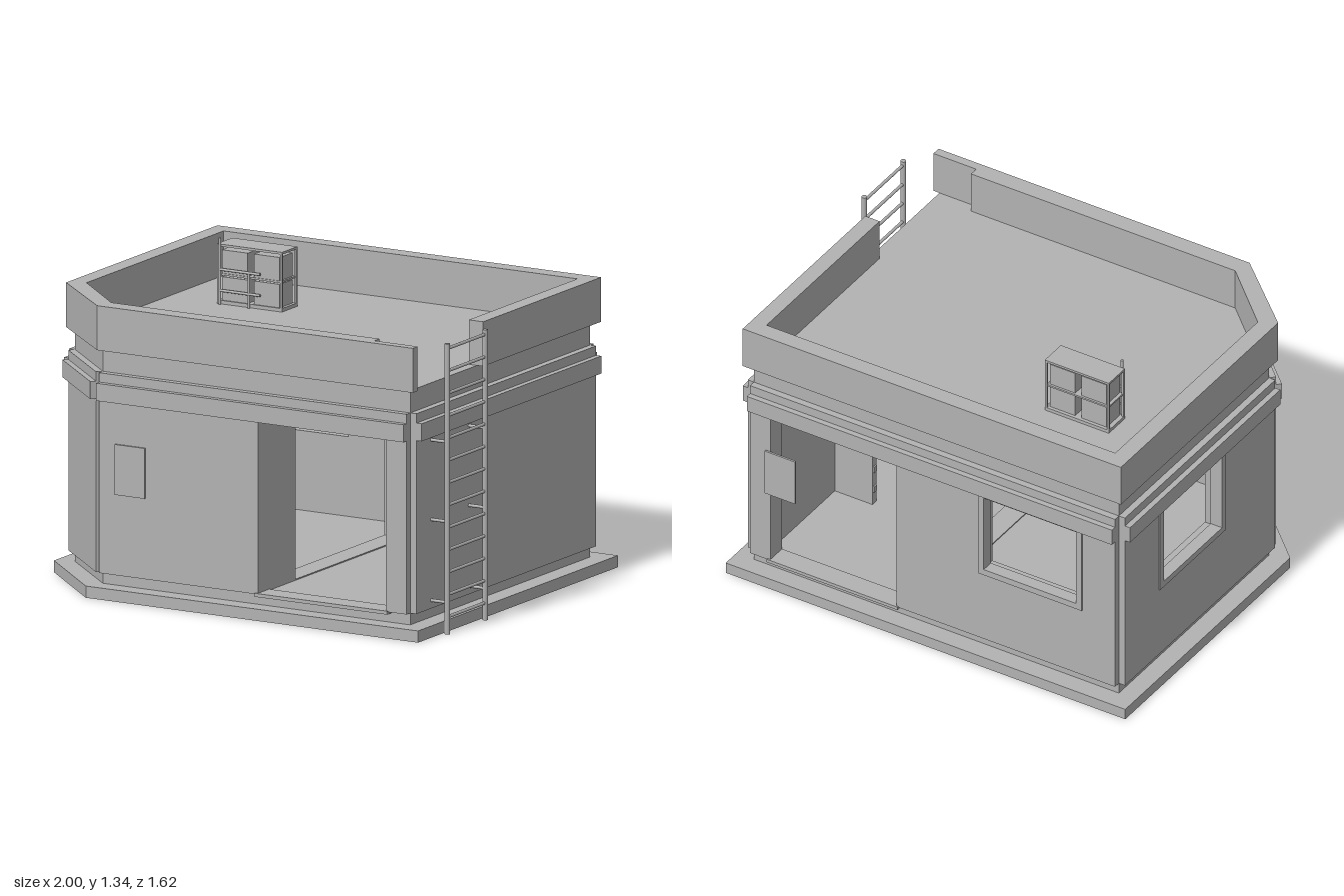
import * as THREE from 'three';

const grey = new THREE.MeshStandardMaterial({ color: 0xb2b2b2 });
grey.name = 'concrete grey';

function add(parent, name, geometry) {
  const mesh = new THREE.Mesh(geometry, grey);
  mesh.name = name;
  parent.add(mesh);
  return mesh;
}

// Box given by its min and max along each axis
function box(parent, name, x0, x1, y0, y1, z0, z1) {
  const mesh = add(parent, name, new THREE.BoxGeometry(x1 - x0, y1 - y0, z1 - z0));
  mesh.position.set((x0 + x1) / 2, (y0 + y1) / 2, (z0 + z1) / 2);
  return mesh;
}

// Round bar between two points
function bar(parent, name, a, b, radius) {
  const from = new THREE.Vector3(...a), to = new THREE.Vector3(...b);
  const mesh = add(parent, name, new THREE.CylinderGeometry(radius, radius, from.distanceTo(to), 10));
  mesh.position.copy(from).lerp(to, 0.5);
  mesh.quaternion.setFromUnitVectors(new THREE.Vector3(0, 1, 0), to.sub(from).normalize());
  return mesh;
}

// Horizontal slab from an [x, z] outline
function slab(parent, name, outline, y0, y1) {
  const shape = new THREE.Shape(outline.map(([x, z]) => new THREE.Vector2(x, -z)));
  const geometry = new THREE.ExtrudeGeometry(shape, { depth: y1 - y0, bevelEnabled: false });
  geometry.rotateX(-Math.PI / 2).translate(0, y0, 0);
  return add(parent, name, geometry);
}

function rect(target, [u0, u1, y0, y1]) {
  target.moveTo(u0, y0);
  target.lineTo(u1, y0);
  target.lineTo(u1, y1);
  target.lineTo(u0, y1);
  target.closePath();
  return target;
}

// Upright panel along a line a-b; in/out are distances along its outward normal
function panel(parent, name, a, b, area, inner, outer, holes = []) {
  const shape = rect(new THREE.Shape(), area);
  for (const hole of holes) shape.holes.push(rect(new THREE.Path(), hole));
  const geometry = new THREE.ExtrudeGeometry(shape, { depth: outer - inner, bevelEnabled: false });
  geometry.translate(0, 0, inner);
  const mesh = add(parent, name, geometry);
  mesh.position.set(a[0], 0, a[1]);
  mesh.rotation.y = Math.atan2(-(b[1] - a[1]), b[0] - a[0]);
  return mesh;
}

export function createModel() {
  const model = new THREE.Group();
  model.name = 'building';

  // Ground slab, floor and roof deck
  slab(model, 'groundSlab', [[-0.645, 0.81], [0.965, 0.81], [0.965, -0.81], [-1, -0.81], [-1, 0.475]], 0, 0.05);
  const core = [[-0.61, 0.73], [0.88, 0.73], [0.88, -0.725], [-0.915, -0.725], [-0.915, 0.445]];
  const inset = [[-0.59, 0.7], [0.85, 0.7], [0.85, -0.7], [-0.885, -0.7], [-0.885, 0.43]];
  slab(model, 'floor', inset, 0.05, 0.1);
  slab(model, 'roofDeck', inset, 0.95, 1.05);

  // Openings per side, measured along the side: [from, to, bottom, top]
  const sides = [
    { name: 'front', doors: [[0.77, 1.39, 0.105, 0.84]], windows: [] },
    { name: 'left', doors: [], windows: [] },
    { name: 'back', doors: [[0.1, 0.72, 0.105, 0.84]], windows: [[1.135, 1.625, 0.44, 0.84]] },
    { name: 'right', doors: [], windows: [[0.275, 0.765, 0.44, 0.84]] },
    { name: 'corner', doors: [], windows: [] },
  ];
  sides.forEach((side, i) => {
    const a = core[i], b = core[(i + 1) % core.length];
    const length = Math.hypot(b[0] - a[0], b[1] - a[1]);
    const holes = [...side.doors, ...side.windows];
    panel(model, side.name + 'Wall', a, b, [0, length, 0.05, 1.05], -0.06, 0, holes);
    panel(model, side.name + 'Facing', a, b, [0, length, 0.1, 0.955], 0, 0.03, holes);
    panel(model, side.name + 'Cornice', a, b, [0, length, 0.84, 0.915], 0, 0.055);
    for (const [u0, u1, y0, y1] of side.windows) {
      panel(model, side.name + 'WindowFrame', a, b, [u0 - 0.01, u1 + 0.01, y0 - 0.01, y1 + 0.01],
        -0.02, 0.036, [[u0 + 0.018, u1 - 0.018, y0 + 0.018, y1 - 0.018]]);
    }
    for (const [u0, u1] of side.doors) {
      panel(model, side.name + 'DoorSill', a, b, [u0 - 0.015, u1 + 0.01, 0.09, 0.105], -0.06, 0.037);
    }
  });

  // Wall plates beside the doors
  box(model, 'frontWallPlate', -0.53, -0.385, 0.445, 0.66, 0.76, 0.769);
  box(model, 'backWallPlate', 0.65, 0.8, 0.445, 0.66, -0.769, -0.76);

  // Inner wall with a wide doorway, and a short screen with hinges
  panel(model, 'innerWall', [0.16, 0.69], [0.16, -0.69], [0, 1.38, 0.1, 0.95], -0.1, 0,
    [[0.235, 1.12, 0.105, 0.77]]);
  box(model, 'screen', 0.635, 0.83, 0.1, 0.765, -0.19, -0.16);
  for (let i = 0; i < 6; i++) {
    box(model, 'screenHinge', 0.628, 0.635, 0.16 + i * 0.1, 0.19 + i * 0.1, -0.185, -0.165);
  }

  // Parapet, open beside the ladder
  slab(model, 'parapet', [
    [0.91, 0.19], [0.91, -0.765], [-0.95, -0.765], [-0.95, 0.46], [-0.62, 0.76], [0.91, 0.76], [0.91, 0.72],
    [0.7, 0.72], [0.7, 0.68], [-0.6, 0.68], [-0.875, 0.42], [-0.875, -0.69], [0.84, -0.69], [0.84, 0.19],
  ], 1.05, 1.24);

  // Ladder
  const ladder = new THREE.Group();
  ladder.name = 'ladder';
  model.add(ladder);
  for (const z of [0.305, 0.61]) {
    bar(ladder, 'ladderRail', [0.988, 0, z], [0.988, 1.24, z], 0.012);
    for (const y of [0.135, 0.48, 0.82]) bar(ladder, 'ladderBracket', [0.9, y, z], [0.988, y, z], 0.007);
  }
  for (let i = 0; i < 13; i++) {
    const y = 0.073 + i * 0.0955;
    bar(ladder, 'ladderRung', [0.988, y, 0.305], [0.988, y, 0.61], 0.007);
  }

  // Rooftop unit: frame with four boxes and pipes
  const unit = new THREE.Group();
  unit.name = 'rooftopUnit';
  model.add(unit);
  box(unit, 'unitTop', -0.635, -0.32, 1.295, 1.305, -0.36, -0.235);
  box(unit, 'unitShelf', -0.63, -0.325, 1.172, 1.18, -0.355, -0.238);
  box(unit, 'unitBase', -0.635, -0.32, 1.05, 1.065, -0.36, -0.235);
  for (const x of [-0.635, -0.33]) {
    for (const z of [-0.36, -0.245]) box(unit, 'unitPost', x, x + 0.01, 1.05, 1.3, z, z + 0.01);
  }
  for (const [x0, x1] of [[-0.615, -0.49], [-0.46, -0.335]]) {
    for (const y of [1.065, 1.18]) box(unit, 'unitBox', x0, x1, y, y + 0.1, -0.345, -0.242);
  }
  bar(unit, 'tallPipe', [-0.615, 1.05, -0.225], [-0.615, 1.335, -0.225], 0.006);
  bar(unit, 'shortPipe', [-0.475, 1.05, -0.225], [-0.475, 1.2, -0.225], 0.006);
  for (const y of [1.11, 1.2]) bar(unit, 'crossPipe', [-0.615, y, -0.225], [-0.42, y, -0.225], 0.006);

  return model;
}
